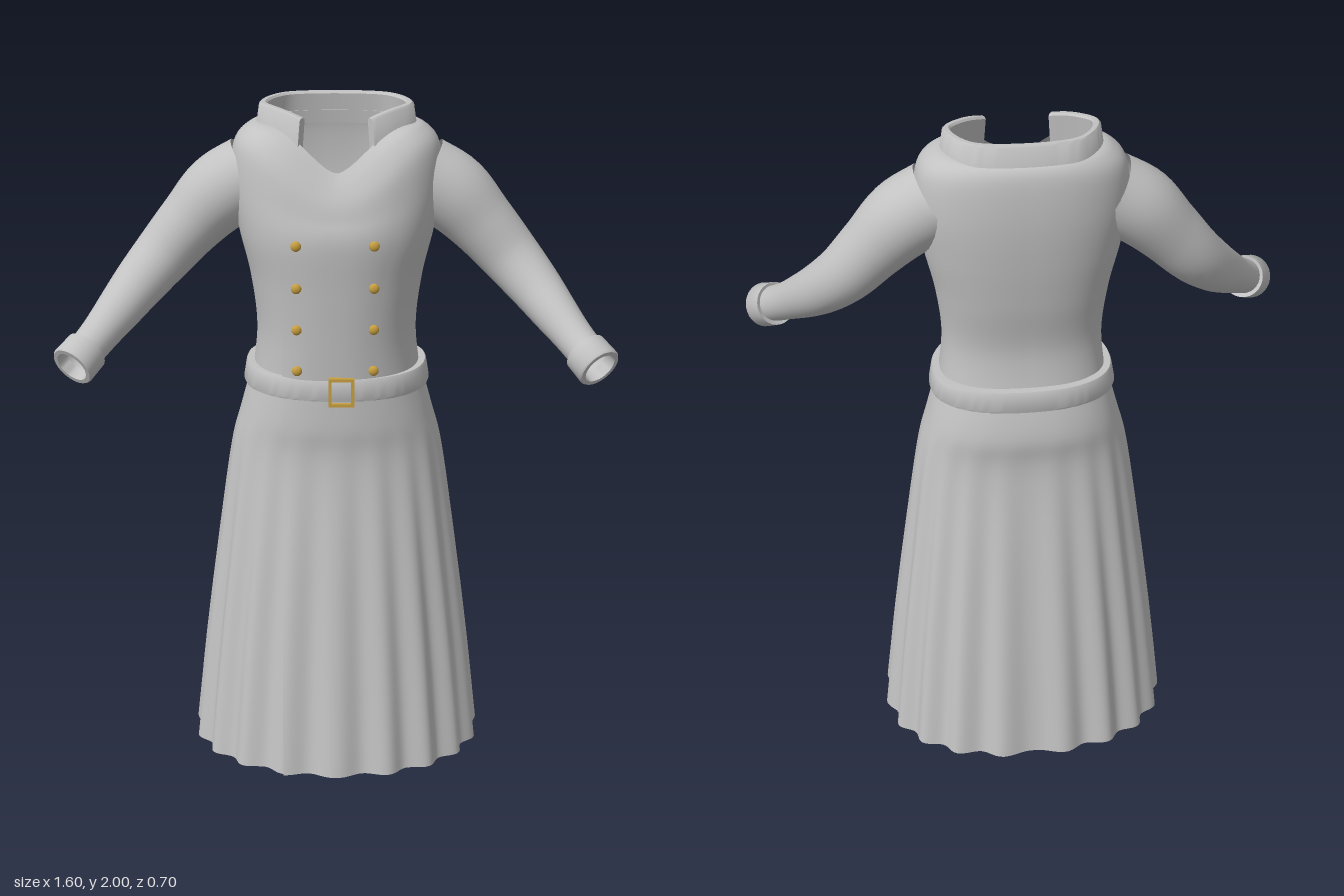
import * as THREE from 'three';
import { toCreasedNormals } from 'three/addons/utils/BufferGeometryUtils.js';

const cloth = new THREE.MeshStandardMaterial({ color: 0xc2c2c2, side: THREE.DoubleSide });
cloth.name = 'grey cloth';
const brass = new THREE.MeshStandardMaterial({ color: 0xc9a040 });
brass.name = 'brass';

// Skin a grid of points; each row runs around, rows follow one another.
function loft(rows, closed = false) {
  const n = rows[0].length, cols = closed ? n : n - 1, index = [];
  for (let i = 0; i < rows.length - 1; i++) {
    for (let j = 0; j < cols; j++) {
      const k = (j + 1) % n, a = i * n + j, b = i * n + k;
      index.push(a, b, b + n, a, b + n, a + n);
    }
  }
  const g = new THREE.BufferGeometry().setFromPoints(rows.flat());
  g.setIndex(index);
  g.computeVertexNormals();
  return g;
}

function part(name, geometry, material = cloth) {
  const m = new THREE.Mesh(geometry, material);
  m.name = name;
  return m;
}

// Smooth interpolation between rows of key numbers.
function sampleKeys(keys, steps) {
  const out = [], last = keys.length - 1;
  for (let s = 0; s <= steps; s++) {
    const f = (s / steps) * last, i = Math.min(Math.floor(f), last - 1), t = f - i;
    const k = (d) => keys[Math.min(last, Math.max(0, i + d))];
    out.push(keys[i].map((_, c) => {
      const p0 = k(-1)[c], p1 = k(0)[c], p2 = k(1)[c], p3 = k(2)[c];
      return p1 + 0.5 * t * (p2 - p0 + t * (2 * p0 - 5 * p1 + 4 * p2 - p3 + t * (3 * (p1 - p2) + p3 - p0)));
    }));
  }
  return out;
}

const spow = (v, e) => Math.sign(v) * Math.pow(Math.abs(v), e);

// Rounded body outline: half width, front and back depth, front and back roundness.
function outline(a, y, hx, zf, zb, pf = 2.2, pb = 2.4, grow = 0) {
  const s = Math.sin(a), c = Math.cos(a), p = c > 0 ? pf : pb;
  const v = new THREE.Vector3(hx * spow(s, 2 / p), y, (c > 0 ? zf : zb) * Math.pow(Math.abs(c), 2 / p));
  const k = 1 + grow / Math.hypot(v.x, v.z);
  v.x *= k;
  v.z *= k;
  return v;
}

// One row of a wrapped garment: starts at the flap edge x = seam and tucks beneath it.
function wrapRow([y, hx, zf, zb, pf, seam, dip, pleat], segments) {
  const start = Math.asin(spow(seam / hx, pf / 2)), row = [];
  for (let j = 0; j <= segments; j++) {
    const t = j / segments, a = start + t * (Math.PI * 2 + 0.1);
    const lap = 0.008 * Math.max(0, 1 - 6 * t);
    const drop = dip * Math.pow(Math.max(0, Math.cos(a)), 5);
    row.push(outline(a, y - drop, hx, zf, zb, pf, 2.4, lap + pleat * Math.cos(19 * a)));
  }
  return row;
}

// Sleeve on one side (s = 1 left, -1 right) with a turned cuff.
function makeSleeve(s) {
  const g = new THREE.Group();
  g.name = s > 0 ? 'leftSleeve' : 'rightSleeve';
  const keys = [
    [0.245, 1.785, -0.01, 0.115], [0.33, 1.735, -0.008, 0.113], [0.42, 1.645, 0, 0.098],
    [0.5, 1.555, 0.018, 0.088], [0.57, 1.48, 0.07, 0.078], [0.64, 1.405, 0.155, 0.067],
    [0.7, 1.345, 0.235, 0.056], [0.735, 1.315, 0.285, 0.053],
  ];
  const path = new THREE.CatmullRomCurve3(keys.map((k) => new THREE.Vector3(k[0] * s, k[1], k[2])));
  const steps = 35, frames = path.computeFrenetFrames(steps);
  const rows = sampleKeys(keys, steps).map((k, i) => {
    const center = path.getPoint(i / steps), row = [];
    // frames are spaced by arc length, so recentre them on the matching point
    center.copy(path.getPointAt(i / steps));
    for (let j = 0; j < 28; j++) {
      const a = (j / 28) * Math.PI * 2;
      row.push(center.clone()
        .addScaledVector(frames.normals[i], Math.cos(a) * k[3])
        .addScaledVector(frames.binormals[i], Math.sin(a) * k[3]));
    }
    return row;
  });
  g.add(part('sleeve', loft(rows, true)));

  const profile = [[0.048, -0.03], [0.064, -0.035], [0.066, 0.03], [0.062, 0.036], [0.049, 0.036], [0.046, 0.0]]
    .map((p) => new THREE.Vector2(...p));
  const cuff = part('cuff', toCreasedNormals(new THREE.LatheGeometry(profile, 32), 0.7));
  cuff.position.set(0.727 * s, 1.32, 0.272);
  cuff.quaternion.setFromUnitVectors(new THREE.Vector3(0, 1, 0), path.getTangent(1));
  g.add(cuff);
  return g;
}

export function createModel() {
  const model = new THREE.Group();
  model.name = 'coat';

  // Keys: height, half width, front z, back z, front roundness, flap edge x, front dip, pleat depth
  const skirtKeys = [
    [0, 0.432, 0.332, -0.342, 2.2, -0.15, 0, 0.012],
    [0.32, 0.398, 0.288, -0.295, 2.2, -0.15, 0, 0.009],
    [0.64, 0.358, 0.245, -0.245, 2.2, -0.15, 0, 0.006],
    [0.95, 0.316, 0.204, -0.196, 2.2, -0.15, 0, 0.002],
    [1.08, 0.285, 0.207, -0.197, 2.2, -0.15, 0, 0],
    [1.2, 0.252, 0.205, -0.168, 2.2, -0.15, 0, 0],
  ];
  const skirtRows = sampleKeys(skirtKeys, 30).map((k) => wrapRow(k, 228));
  model.add(part('skirt', loft(skirtRows)));

  const bodiceKeys = [
    [1.18, 0.25, 0.208, -0.165, 2.3, -0.15, 0, 0],
    [1.34, 0.233, 0.218, -0.14, 2.3, -0.15, 0, 0],
    [1.5, 0.25, 0.228, -0.162, 2.3, -0.15, 0, 0],
    [1.64, 0.282, 0.236, -0.178, 2.3, -0.15, 0, 0],
    [1.77, 0.302, 0.22, -0.185, 2.2, -0.145, 0.06, 0],
    [1.885, 0.293, 0.205, -0.178, 2.1, -0.115, 0.13, 0],
    [1.935, 0.25, 0.182, -0.16, 1.9, -0.06, 0.14, 0],
    [1.945, 0.203, 0.155, -0.125, 1.6, -0.005, 0.115, 0],
  ];
  const bodiceRows = sampleKeys(bodiceKeys, 49).map((k) => wrapRow(k, 160));
  model.add(part('bodice', loft(bodiceRows)));

  model.add(makeSleeve(1), makeSleeve(-1));

  // Belt: a thick band closed top and bottom
  const beltProfile = [[1.172, -0.02], [1.172, 0.009], [1.18, 0.012], [1.228, 0.004], [1.236, 0], [1.236, -0.025]];
  const beltRows = beltProfile.map(([y, grow]) => Array.from({ length: 96 },
    (_, j) => outline((j / 96) * Math.PI * 2, y, 0.262, 0.214, -0.178, 2.3, 2.4, grow)));
  model.add(part('belt', toCreasedNormals(loft(beltRows, true), 0.6)));

  // Stand collar, open at the front, with pointed lower tips
  const half = [[0.1, 0.118], [0.165, 0.07], [0.215, 0.012], [0.205, -0.05], [0.155, -0.115], [0.08, -0.138]];
  const collarPath = new THREE.CatmullRomCurve3([
    ...half.map(([x, z]) => new THREE.Vector3(x, 0, z)),
    ...half.slice().reverse().map(([x, z]) => new THREE.Vector3(-x, 0, z)),
  ]);
  const collarRows = Array.from({ length: 61 }, (_, i) => {
    const p = collarPath.getPointAt(i / 60), t = collarPath.getTangentAt(i / 60);
    const out = new THREE.Vector3(-t.z, 0, t.x);
    if (out.dot(p) < 0) out.negate();
    const tip = Math.pow(Math.abs(i / 30 - 1), 6);
    const top = 2 - 0.025 * tip, low = 1.905 - 0.035 * tip;
    return [[0.016, low], [0.003, top - 0.006], [-0.003, top], [-0.015, top], [-0.02, top - 0.006], [-0.008, low]]
      .map(([d, y]) => p.clone().addScaledVector(out, d).setY(y));
  });
  model.add(part('collar', toCreasedNormals(loft(collarRows, true), 0.7)));
  for (const i of [0, 60]) {
    const r = collarRows[i];
    model.add(part('collarEnd', loft([[r[0], r[1], r[2]], [r[5], r[4], r[3]]])));
  }

  // Two columns of buttons seated on the bodice
  const points = bodiceRows.flat().filter((p) => p.z > 0.1);
  const buttonShape = new THREE.SphereGeometry(0.015, 16, 10).scale(1, 1, 0.6);
  for (const x of [-0.112, 0.108]) {
    for (const y of [1.64, 1.513, 1.386, 1.26]) {
      const dist = (p) => Math.hypot(p.x - x, p.y - y);
      const seat = points.reduce((a, b) => (dist(b) < dist(a) ? b : a));
      const button = part('button', buttonShape, brass);
      button.position.set(x, y, seat.z + 0.004);
      model.add(button);
    }
  }

  // Open rectangular buckle
  const rect = (C, w, h) => new C([[-w, -h], [w, -h], [w, h], [-w, h]].map(([x, y]) => new THREE.Vector2(x, y)));
  const frame = rect(THREE.Shape, 0.037, 0.043);
  frame.holes.push(rect(THREE.Path, 0.028, 0.034));
  const buckle = part('buckle', new THREE.ExtrudeGeometry(frame, { depth: 0.014, bevelEnabled: false }), brass);
  buckle.position.set(0.016, 1.203, 0.222);
  model.add(buckle);

  return model;
}
